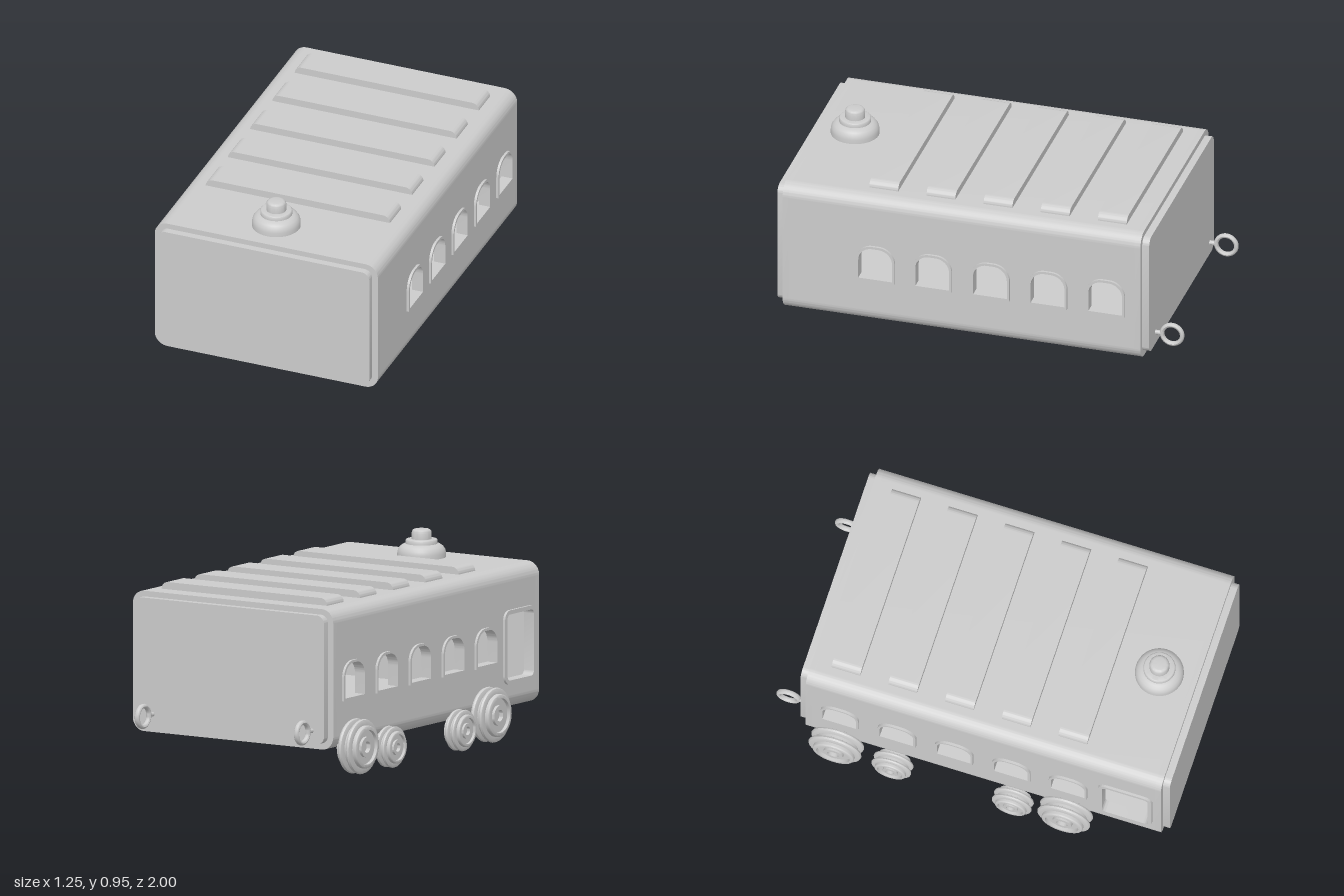
import * as THREE from 'three';
import { toCreasedNormals } from 'three/addons/utils/BufferGeometryUtils.js';

const grey = new THREE.MeshStandardMaterial({ color: 0xcccccc });
const HW = 0.575, HH = 0.34, R = 0.065, WALL = 0.04; // body half width, half height, corner, wall
const CX = 0.035, CY = 0.48;                         // middle of the body section
const BACK = -0.82, FRONT = 0.965;

function part(name, geometry, parent) {
  const mesh = new THREE.Mesh(toCreasedNormals(geometry, 0.6), grey);
  mesh.name = name;
  parent.add(mesh);
  return mesh;
}

// Rectangle with separate top and bottom corner radii
function roundRect(path, x0, y0, x1, y1, top, bottom = top) {
  const P = Math.PI;
  path.moveTo(x0 + bottom, y0);
  path.lineTo(x1 - bottom, y0);
  if (bottom > 0) path.absarc(x1 - bottom, y0 + bottom, bottom, -P / 2, 0, false);
  path.lineTo(x1, y1 - top);
  path.absarc(x1 - top, y1 - top, top, 0, P / 2, false);
  path.lineTo(x0 + top, y1);
  path.absarc(x0 + top, y1 - top, top, P / 2, P, false);
  path.lineTo(x0, y0 + bottom);
  if (bottom > 0) path.absarc(x0 + bottom, y0 + bottom, bottom, P, P * 1.5, false);
  return path;
}

const extrude = (shape, depth) =>
  new THREE.ExtrudeGeometry(shape, { depth, bevelEnabled: false, curveSegments: 10 });

// Shape drawn in (z, y), extruded across x from x0 to x1
const extrudeX = (shape, x0, x1) =>
  extrude(shape, x1 - x0).rotateY(-Math.PI / 2).translate(x1, 0, 0);

// Openings: middle z, bottom, top, width and corner radii
const windows = [0.5, 0.215, -0.073, -0.36, -0.648].map((z) =>
  ({ name: 'windowFrame', z, y0: 0.37, y1: 0.56, w: 0.192, top: 0.08, bottom: 0, rim: 0.012 }));
const door = { name: 'doorFrame', z: 0.787, y0: 0.26, y1: 0.62, w: 0.27, top: 0.045, bottom: 0.045, rim: 0.02 };

const outline = (path, o, inset) => roundRect(path, o.z - o.w / 2 + inset, o.y0 + inset,
  o.z + o.w / 2 - inset, o.y1 - inset, o.top - inset, Math.max(o.bottom - inset, 0));

function addSide(body, side, openings) {
  const outer = CX + side * HW, inner = outer - side * WALL;
  const wall = new THREE.Shape([[BACK + 0.03, CY - HH + R], [FRONT - 0.03, CY - HH + R],
    [FRONT - 0.03, CY + HH - R], [BACK + 0.03, CY + HH - R]].map((p) => new THREE.Vector2(...p)));
  for (const o of openings) {
    wall.holes.push(outline(new THREE.Path(), o, o.rim / 2));
    const frame = outline(new THREE.Shape(), o, 0);
    frame.holes.push(outline(new THREE.Path(), o, o.rim));
    const a = outer + side * 0.012, b = inner - side * 0.005;
    part(o.name, extrudeX(frame, Math.min(a, b), Math.max(a, b)), body);
  }
  part('sideWall', extrudeX(wall, Math.min(outer, inner), Math.max(outer, inner)), body);
}

// Roof channel with rounded shoulders, centred on the body section
function channel() {
  const s = new THREE.Shape(), P = Math.PI, y = HH - R, x = HW - R;
  s.moveTo(-HW, y);
  s.absarc(-x, y, R, P, P / 2, true);
  s.absarc(x, y, R, P / 2, 0, true);
  s.lineTo(HW - WALL, y);
  s.absarc(x, y, R - WALL, 0, P / 2, false);
  s.absarc(-x, y, R - WALL, P / 2, P, false);
  return extrude(s, FRONT - BACK - 0.06);
}

function addBody(model) {
  const body = new THREE.Group();
  body.name = 'body';
  model.add(body);
  addSide(body, 1, windows);
  addSide(body, -1, [...windows, door]);
  part('roof', channel(), body).position.set(CX, CY, BACK + 0.03);
  part('floor', channel().rotateZ(Math.PI), body).position.set(CX, CY, BACK + 0.03);

  // Closed ends, each with a slightly smaller raised panel
  const full = roundRect(new THREE.Shape(), -HW, -HH, HW, HH, R);
  const panel = roundRect(new THREE.Shape(), -HW + 0.03, -HH + 0.03, HW - 0.03, HH - 0.027, 0.04);
  for (const [z, dir] of [[FRONT, 1], [BACK, -1]]) {
    part('endWall', extrude(full, 0.03), body).position.set(CX, CY, dir > 0 ? z - 0.03 : z);
    part('endPanel', extrude(panel, 0.035), body).position.set(CX, CY, dir > 0 ? z : z - 0.035);
  }
}

const lathe = (points) =>
  new THREE.LatheGeometry(points.map(([r, y]) => new THREE.Vector2(r, y)), 40);

// Quarter-round edge points for a lathe profile
const round = (r, y, e) => [0, 1, 2, 3, 4].map((i) => {
  const a = (i / 4) * Math.PI / 2;
  return [r - e + e * Math.cos(a), y - e + e * Math.sin(a)];
});

function addWheel(model, z, radius, width) {
  // Hollow hub, recessed face and two round flanges
  const flange = (y) => [-2, -1, 0, 1, 2].map((i) => {
    const a = (i / 4) * Math.PI;
    return [0.122 + 0.013 * Math.cos(a), y + 0.012 * Math.sin(a)];
  });
  const profile = [
    [0, -0.035], [0.028, -0.035], [0.028, -0.05], [0.05, -0.05], [0.05, -0.04], [0.085, -0.04],
    [0.085, -0.055], [0.105, -0.055], [0.105, -0.034],
    ...flange(-0.022), [0.108, -0.008], [0.108, 0.008], ...flange(0.022), [0.105, 0.034],
    ...round(0.105, 0.055, 0.008), [0.085, 0.055], [0.085, 0.038], [0.05, 0.038],
    [0.05, 0.052], [0.028, 0.052], [0.028, 0.03], [0, 0.03]];
  const wheel = part('wheel', lathe(profile).scale(radius / 0.135, width, radius / 0.135).rotateZ(Math.PI / 2), model);
  wheel.position.set(-0.574, radius + (radius > 0.12 ? 0.01 : 0.003), z);
}

export function createModel() {
  const model = new THREE.Group();
  model.name = 'railwayCarriage';
  addBody(model);

  // Raised roof ribs
  const rib = roundRect(new THREE.Shape(), -0.475, 0, 0.475, 0.04, 0.036, 0);
  for (const z of [0.49, 0.205, -0.08, -0.365, -0.65]) {
    part('roofRib', extrude(rib, 0.144), model).position.set(CX, 0.815, z - 0.072);
  }

  // Stepped roof vent
  part('roofVent', lathe([[0.117, 0], ...round(0.117, 0.07, 0.045), [0.077, 0.07],
    ...round(0.077, 0.092, 0.008), [0.048, 0.092], ...round(0.048, 0.14, 0.018), [0, 0.14]]), model)
    .position.set(0.012, 0.815, 0.78);

  // Wheels along the right side
  for (const z of [0.495, -0.655]) addWheel(model, z, 0.133, 1);
  for (const z of [0.232, -0.373]) addWheel(model, z, 0.1, 0.8);

  // Coupling rings at the back
  for (const x of [-0.44, 0.473]) {
    const coupling = new THREE.Group();
    coupling.name = 'coupling';
    coupling.position.set(x, 0.233, -0.938);
    part('ring', new THREE.TorusGeometry(0.05, 0.011, 12, 32).rotateY(Math.PI / 2).scale(1.2, 1, 1), coupling);
    part('stem', new THREE.CylinderGeometry(0.011, 0.011, 0.05, 12).rotateX(Math.PI / 2), coupling)
      .position.z = 0.07;
    model.add(coupling);
  }
  return model;
}
